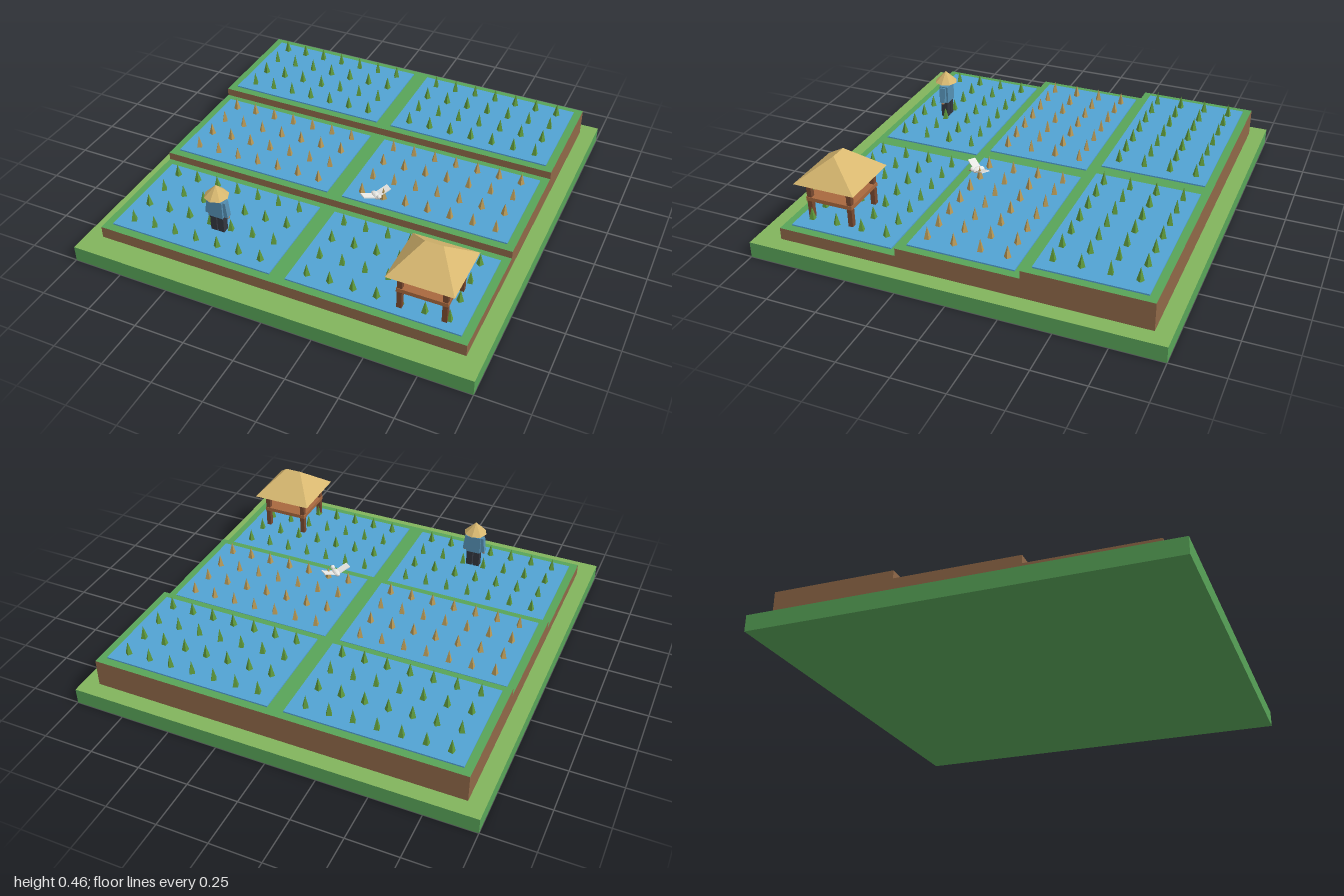
import * as THREE from 'three';

const mat = (color) => new THREE.MeshStandardMaterial({ color, flatShading: true });
const M = {
  grass: mat(0x82b45c), green: mat(0x58a458), soil: mat(0x8f6848), water: mat(0x52a2d2),
  rice: mat(0x5f9a3c), ripe: mat(0xb89a58), wood: mat(0x7a4a30), floor: mat(0xa8683e),
  straw: mat(0xd8b870), shirt: mat(0x5590b4), trousers: mat(0x33363f), skin: mat(0xb07c58),
  white: mat(0xe8e8e4), beak: mat(0x8a7a60),
};

function add(parent, name, geometry, material, x = 0, y = 0, z = 0) {
  const mesh = new THREE.Mesh(geometry, material);
  mesh.name = name;
  mesh.position.set(x, y, z);
  parent.add(mesh);
  return mesh;
}

function group(parent, name, x = 0, y = 0, z = 0) {
  const g = new THREE.Group();
  g.name = name;
  g.position.set(x, y, z);
  parent.add(g);
  return g;
}

// Box standing on y0, with an optional different material on its top face
function slab(parent, name, w, y0, y1, d, side, top = side, x = 0, z = 0) {
  const faces = top === side ? side : [side, side, top, side, side, side];
  return add(parent, name, new THREE.BoxGeometry(w, y1 - y0, d), faces, x, (y0 + y1) / 2, z);
}

// One terrace step with two flooded paddies and their rows of plants
function addTerrace(parent, z, top, cropMaterial, cropHeight) {
  const terrace = group(parent, 'terrace', 0, 0, z);
  slab(terrace, 'terraceEarth', 1.84, 0.08, top, 0.6, M.soil, M.green);
  const cone = new THREE.ConeGeometry(0.018, cropHeight, 4);
  for (const side of [-1, 1]) {
    const paddy = group(terrace, side < 0 ? 'rightPaddy' : 'leftPaddy', side * 0.46);
    slab(paddy, 'water', 0.84, top - 0.004, top + 0.007, 0.52, M.water);
    for (let col = 0; col < 7; col++) {
      for (let row = 0; row < 4; row++) {
        const plant = add(paddy, 'ricePlant', cone, cropMaterial,
          (col - 3) * 0.1138, top + 0.005 + cropHeight / 2, (row - 1.5) * 0.13);
        plant.rotation.y = col * 1.7 + row * 2.3 + side;
      }
    }
  }
}

function addFarmer(parent) {
  const farmer = group(parent, 'farmer', -0.4, 0.143, 0.66);
  slab(farmer, 'torso', 0.075, 0.09, 0.183, 0.05, M.shirt);
  for (const side of [-1, 1]) {
    slab(farmer, 'leg', 0.032, 0, 0.095, 0.036, M.trousers, M.trousers, side * 0.019);
    const arm = slab(farmer, 'arm', 0.02, 0.095, 0.178, 0.03, M.shirt, M.shirt, side * 0.045);
    arm.rotation.z = side * 0.12;
    add(farmer, 'hand', new THREE.IcosahedronGeometry(0.011), M.skin, side * 0.051, 0.092, 0);
  }
  add(farmer, 'head', new THREE.IcosahedronGeometry(0.028, 1), M.skin, 0, 0.203, 0);
  add(farmer, 'strawHat', new THREE.ConeGeometry(0.06, 0.06, 8), M.straw, 0, 0.233, 0);
}

function addHut(parent) {
  const hut = group(parent, 'hut', 0.68, 0, 0.68);
  for (const x of [-0.105, 0.105]) {
    for (const z of [-0.105, 0.105]) {
      slab(hut, 'post', 0.024, 0.143, 0.345, 0.024, M.wood, M.wood, x, z);
    }
  }
  slab(hut, 'platform', 0.24, 0.24, 0.26, 0.24, M.floor);
  // Hipped roof: the top of a box drawn in to a short ridge
  const roof = new THREE.BoxGeometry(0.315, 0.12, 0.315);
  const p = roof.attributes.position;
  for (let i = 0; i < p.count; i++) {
    if (p.getY(i) > 0) p.setXYZ(i, Math.sign(p.getX(i)) * 0.042, 0.06, 0);
  }
  roof.computeVertexNormals();
  add(hut, 'thatchedRoof', roof, M.straw, 0, 0.4, 0);
}

// Small bird with its wings raised; it faces local +x
function addBird(parent) {
  const bird = group(parent, 'bird', 0.2, 0.213, 0.197);
  bird.rotation.y = -0.65;
  const body = add(bird, 'body', new THREE.IcosahedronGeometry(0.02, 1), M.white);
  body.scale.set(1.7, 0.8, 0.85);
  add(bird, 'head', new THREE.IcosahedronGeometry(0.012, 1), M.white, 0.034, 0.012, 0);
  const beak = add(bird, 'beak', new THREE.ConeGeometry(0.005, 0.022, 4), M.beak, 0.053, 0.01, 0);
  beak.rotation.z = -Math.PI / 2;
  for (const side of [-1, 1]) {
    const wing = add(bird, 'wing', new THREE.BoxGeometry(0.04, 0.005, 0.068), M.white,
      0, 0.012, side * 0.042);
    wing.rotation.x = -side * 0.35;
  }
}

export function createModel() {
  const model = new THREE.Group();
  model.name = 'riceTerraces';
  slab(model, 'base', 2, 0, 0.08, 2, M.green, M.grass);
  addTerrace(model, 0.58, 0.14, M.rice, 0.066);
  addTerrace(model, -0.02, 0.18, M.ripe, 0.066);
  addTerrace(model, -0.62, 0.22, M.rice, 0.07);
  addFarmer(model);
  addHut(model);
  addBird(model);
  return model;
}
